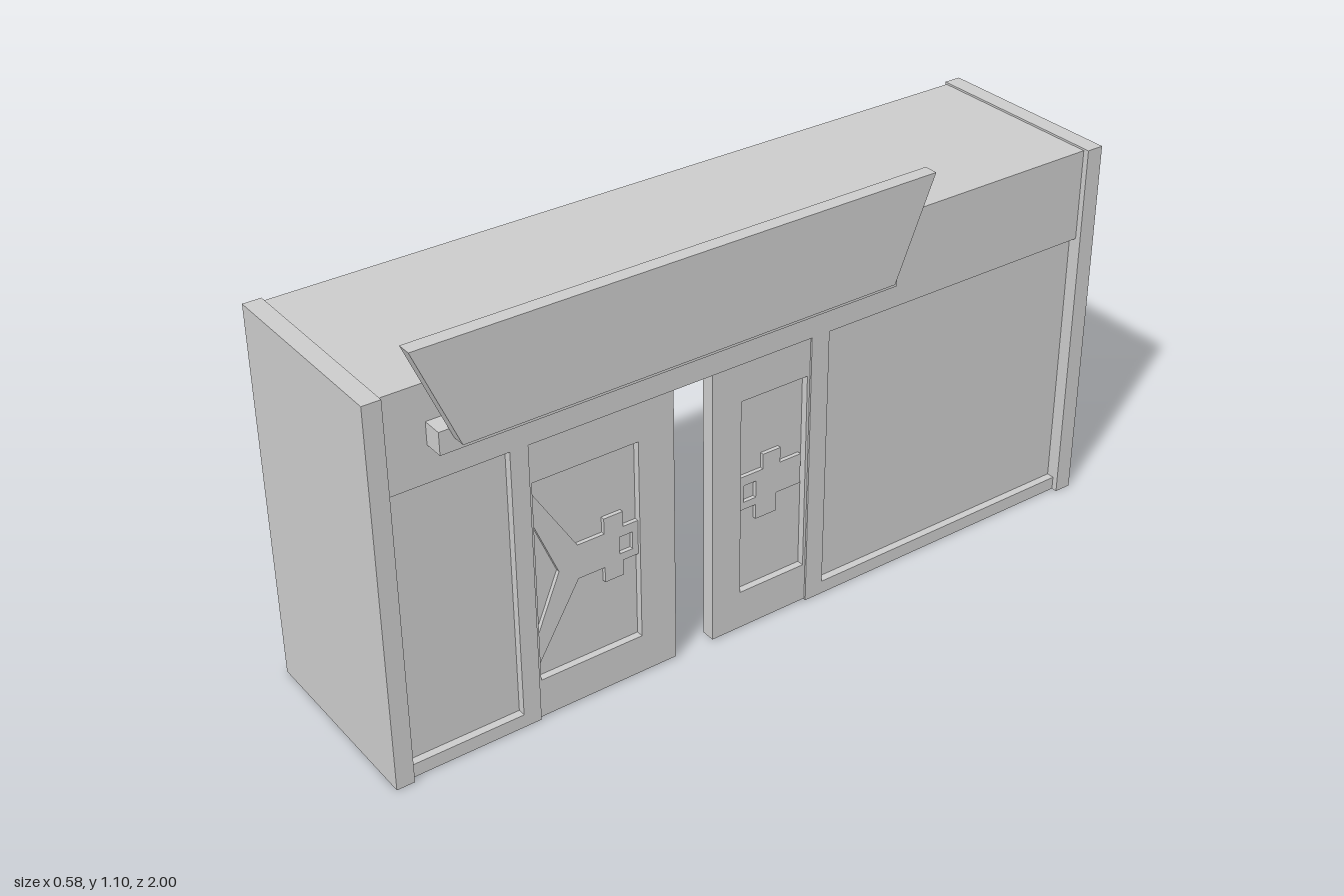
import * as THREE from 'three';

export function createModel() {
  const model = new THREE.Group();
  model.name = 'shopfront';
  const material = new THREE.MeshStandardMaterial({ color: 0xcccccc, flatShading: true });

  const add = (name, geometry, parent = model) => {
    const mesh = new THREE.Mesh(geometry, material);
    mesh.name = name;
    parent.add(mesh);
    return mesh;
  };

  // Box given by its limits on each axis
  const box = (name, [x0, x1], [y0, y1], [z0, z1], parent) => {
    const mesh = add(name, new THREE.BoxGeometry(x1 - x0, y1 - y0, z1 - z0), parent);
    mesh.position.set((x0 + x1) / 2, (y0 + y1) / 2, (z0 + z1) / 2);
    return mesh;
  };

  // Flat outline of (z, y) points, extruded backwards from the plane x = front
  const plate = (name, points, front, depth, parent, holes = []) => {
    const shape = new THREE.Shape(points.map(p => new THREE.Vector2(...p)));
    for (const h of holes) shape.holes.push(new THREE.Path(h.map(p => new THREE.Vector2(...p))));
    const geometry = new THREE.ExtrudeGeometry(shape, { depth, bevelEnabled: false });
    geometry.rotateY(-Math.PI / 2);
    const mesh = add(name, geometry, parent);
    mesh.position.x = front;
    return mesh;
  };
  const rect = (z0, z1, y0, y1) => [[z0, y0], [z1, y0], [z1, y1], [z0, y1]];

  // End walls and the solid header between them
  for (const s of [1, -1]) {
    box('endWall', [-0.29, 0.22], [0, 0.97], s > 0 ? [0.955, 1] : [-1, -0.955]);
  }
  box('header', [-0.285, 0.205], [0.73, 0.965], [-0.957, 0.957]);

  // Display windows, each with a sill and a hollow platform behind
  for (const [z0, z1] of [[0.66, 0.957], [-0.957, -0.18]]) {
    const bay = new THREE.Group();
    bay.name = 'windowBay';
    model.add(bay);
    box('windowPane', [0.17, 0.185], [0.03, 0.735], [z0, z1], bay);
    box('platformTop', [-0.135, 0.205], [0.025, 0.035], [z0, z1], bay);
    const rim = 0.018;
    box('platformFrontRim', [0.205 - rim, 0.205], [0, 0.025], [z0, z1], bay);
    box('platformBackRim', [-0.135, -0.135 + rim], [0, 0.025], [z0, z1], bay);
    box('platformSideRim', [-0.135 + rim, 0.205 - rim], [0, 0.025], [z0, z0 + rim], bay);
    box('platformSideRim', [-0.135 + rim, 0.205 - rim], [0, 0.025], [z1 - rim, z1], bay);
  }

  // Posts between windows and doors
  for (const [z0, z1] of [[0.62, 0.665], [-0.185, -0.135]]) {
    box('post', [0.155, 0.205], [0, 0.735], [z0, z1]);
  }

  // Door leaves: framed recessed panels, one stile beside the opening
  const leaf = (name, z0, z1, p0, p1) => {
    const door = new THREE.Group();
    door.name = name;
    model.add(door);
    plate('doorFrame', rect(z0, z1, 0.003, 0.735), 0.2, 0.035, door, [rect(p0, p1, 0.105, 0.63)]);
    box('doorPanel', [0.174, 0.182], [0.1, 0.635], [p0 - 0.004, p1 + 0.004], door);
    return door;
  };
  const leftDoor = leaf('leftDoor', 0.245, 0.625, 0.34, 0.613);
  const rightDoor = leaf('rightDoor', -0.14, 0.14, -0.128, 0.06);

  // Raised fretwork: a forked branch on one leaf, a stepped block on the other
  plate('forkedFretwork', [
    [0.34, 0.33], [0.38, 0.33], [0.38, 0.29], [0.43, 0.29], [0.43, 0.33], [0.5, 0.33],
    [0.612, 0.14], [0.612, 0.22], [0.55, 0.37], [0.612, 0.52], [0.612, 0.6], [0.5, 0.42],
    [0.43, 0.42], [0.43, 0.46], [0.38, 0.46], [0.38, 0.42], [0.34, 0.42],
  ], 0.192, 0.012, leftDoor, [rect(0.355, 0.39, 0.35, 0.395)]);
  plate('steppedFretwork', [
    [0.06, 0.33], [0.01, 0.33], [0.01, 0.29], [-0.05, 0.29], [-0.05, 0.34], [-0.12, 0.34],
    [-0.12, 0.42], [-0.06, 0.42], [-0.06, 0.46], [-0.01, 0.46], [-0.01, 0.42], [0.06, 0.42],
  ], 0.192, 0.012, rightDoor, [rect(0.01, 0.045, 0.35, 0.395)]);

  // Sign board flaring upwards, carried on a rail
  box('signRail', [0.2, 0.256], [0.82, 0.875], [-0.335, 0.855]);
  plate('signBoard', [[-0.3, 0.85], [0.82, 0.85], [0.925, 1.097], [-0.405, 1.097]], 0.29, 0.035);

  return model;
}
